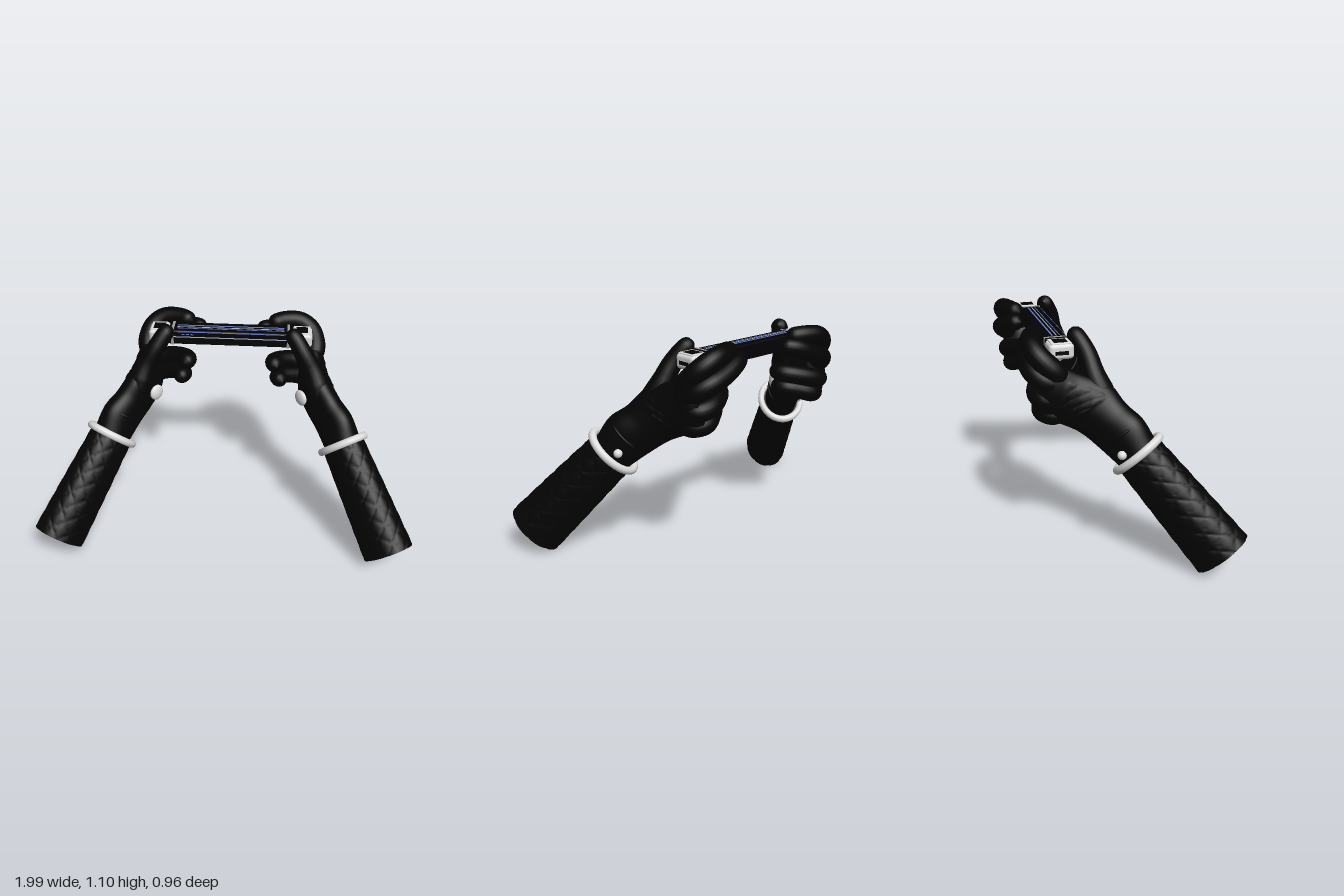
import * as THREE from 'three';
import { RoundedBoxGeometry } from 'three/addons/geometries/RoundedBoxGeometry.js';

const V = (x, y, z) => new THREE.Vector3(x, y, z);
const mat = (name, color) => {
  const m = new THREE.MeshStandardMaterial({ color });
  m.name = name;
  return m;
};

// Skin a list of rings (equal point counts, counter-clockwise about the travel direction).
function skin(rings) {
  const n = rings[0].length, pos = [], idx = [];
  rings.forEach(r => r.forEach(p => pos.push(p.x, p.y, p.z)));
  for (let i = 0; i < rings.length - 1; i++)
    for (let j = 0; j < n; j++) {
      const k = (j + 1) % n, a = i * n + j, b = i * n + k, c = a + n, d = b + n;
      idx.push(a, b, d, a, d, c);
    }
  // end caps with their own vertices so the rims stay crisp
  [rings[0], rings[rings.length - 1]].forEach((ring, end) => {
    const base = pos.length / 3, mid = V(0, 0, 0);
    ring.forEach(p => { mid.addScaledVector(p, 1 / n); pos.push(p.x, p.y, p.z); });
    pos.push(mid.x, mid.y, mid.z);
    for (let j = 0; j < n; j++) {
      const k = (j + 1) % n;
      idx.push(base + n, base + (end ? j : k), base + (end ? k : j));
    }
  });
  const g = new THREE.BufferGeometry();
  g.setAttribute('position', new THREE.Float32BufferAttribute(pos, 3));
  g.setIndex(idx);
  g.computeVertexNormals();
  return g;
}

// Elliptical loft: each section has upper edge a, lower edge b and half thickness t.
function loft(sections, steps, sides, relief) {
  const ca = new THREE.CatmullRomCurve3(sections.map(s => s.a));
  const cb = new THREE.CatmullRomCurve3(sections.map(s => s.b));
  const ct = new THREE.CatmullRomCurve3(sections.map((s, i) => V(s.t, i, 0)));
  const mid = t => ca.getPoint(t).add(cb.getPoint(t)).multiplyScalar(0.5);
  const rings = [];
  for (let i = 0; i <= steps; i++) {
    const t = i / steps, c = mid(t);
    const dir = mid(Math.min(1, t + 0.01)).sub(mid(Math.max(0, t - 0.01)));
    const u = ca.getPoint(t).sub(c), w = u.length();
    u.normalize();
    const v = dir.cross(u).normalize(), h = ct.getPoint(t).x;
    rings.push(Array.from({ length: sides }, (_, j) => {
      const th = j / sides * Math.PI * 2, e = relief(t, th);
      return c.clone().addScaledVector(u, Math.cos(th) * (w + e)).addScaledVector(v, Math.sin(th) * (h + e));
    }));
  }
  return skin(rings);
}

// Round-tipped finger along a smooth path, with radii interpolated along it.
function finger(points, radii) {
  const curve = new THREE.CatmullRomCurve3(points.map(p => V(...p)));
  const steps = 36, sides = 20, len = curve.getLength(), f = curve.computeFrenetFrames(steps);
  const rings = [];
  for (let i = 0; i <= steps; i++) {
    const t = i / steps, q = t * (radii.length - 1), k = Math.min(Math.floor(q), radii.length - 2);
    let r = THREE.MathUtils.lerp(radii[k], radii[k + 1], q - k);
    const s = Math.min(t, 1 - t) * len;
    if (s < r) r *= Math.sqrt(Math.max(0.002, 1 - (1 - s / r) ** 2));
    const c = curve.getPointAt(t);
    rings.push(Array.from({ length: sides }, (_, j) => {
      const th = j / sides * Math.PI * 2;
      return c.clone().addScaledVector(f.normals[i], Math.cos(th) * r).addScaledVector(f.binormals[i], Math.sin(th) * r);
    }));
  }
  return skin(rings);
}

// Mirror a geometry across x = 0 and restore its winding.
function mirrored(geo) {
  const g = geo.clone().scale(-1, 1, 1), ix = g.index.array;
  for (let i = 0; i < ix.length; i += 3) [ix[i], ix[i + 1]] = [ix[i + 1], ix[i]];
  g.computeVertexNormals();
  return g;
}

// Raised diamonds with narrow seams between them
const quilt = (a, b) => Math.min(Math.abs(Math.sin(Math.PI * (a + b))), Math.abs(Math.sin(Math.PI * (a - b)))) ** 0.35;

export function createModel() {
  const model = new THREE.Group();
  model.name = 'glovedHandsWithDevice';
  const black = mat('gloveBlack', 0x040404), white = mat('trimWhite', 0xdcdcdc);
  const dark = mat('deviceBlack', 0x030305), blue = mat('lineBlue', 0x6478c8);
  const grey = mat('jointGrey', 0x9a9a9c), pale = mat('linePale', 0xa9b4cc);

  // Arm frame: D runs from sleeve end to wrist, U up across it, H out of the back of the hand
  const D = V(-0.414, 0.728, -0.546).normalize(), U = V(0.44, 0.685, 0.58).normalize();
  const H = D.clone().cross(U).normalize();
  const basis = p => new THREE.Matrix4().makeBasis(U, H, D).setPosition(p);
  const across = (c, w, t) => ({ a: c.clone().addScaledVector(U, w), b: c.clone().addScaledVector(U, -w), t });
  const edges = (a, b, t) => ({ a: V(...a), b: V(...b), t });
  const end = V(0.878, 0.105, 0.368), wrist = V(0.62, 0.55, 0.03), cuff = V(0.57, 0.638, -0.035);

  const parts = [];
  const add = (name, geo, m) => parts.push([name, geo, m]);

  // Quilted sleeve
  add('sleeve', loft([across(end, 0.145, 0.119), across(end.clone().lerp(wrist, 0.5), 0.133, 0.11), across(wrist, 0.119, 0.1)],
    90, 96, (t, th) => 0.005 * quilt(th * 8 / (Math.PI * 2), t * 6)), black);

  // Palm and wrist with a quilted patch on the back of the hand
  add('palm', loft([
    across(wrist, 0.108, 0.09),
    edges([0.625, 0.722, 0.043], [0.507, 0.56, -0.125], 0.085),
    edges([0.56, 0.78, -0.015], [0.46, 0.62, -0.2], 0.083),
    edges([0.49, 0.86, -0.07], [0.44, 0.66, -0.28], 0.085),
    edges([0.46, 0.915, -0.2], [0.43, 0.68, -0.33], 0.073),
    edges([0.455, 0.96, -0.32], [0.43, 0.7, -0.38], 0.06),
    edges([0.445, 0.9, -0.395], [0.42, 0.74, -0.41], 0.03),
  ], 60, 64, (t, th) => t > 0.45 && t < 0.75 && Math.abs(th - Math.PI / 2) < 0.75
    ? 0.006 * quilt((th - Math.PI / 2) * 2, t * 10) : 0), black);

  // Fingers: two reach behind the device, two curl into the palm
  add('thumb', finger([[0.5, 0.73, -0.075], [0.445, 0.88, -0.13], [0.385, 0.99, -0.155], [0.335, 1.06, -0.19], [0.3, 1.08, -0.208]],
    [0.06, 0.066, 0.053, 0.046, 0.042]), black);
  add('indexFinger', finger([[0.45, 0.88, -0.27], [0.455, 0.95, -0.345], [0.43, 1.005, -0.395], [0.37, 1.045, -0.415], [0.28, 1.057, -0.395], [0.205, 1.05, -0.35]],
    [0.05, 0.056, 0.053, 0.05, 0.047, 0.043]), black);
  add('middleFinger', finger([[0.45, 0.85, -0.29], [0.45, 0.89, -0.37], [0.41, 0.925, -0.415], [0.32, 0.96, -0.428], [0.22, 1.0, -0.41], [0.145, 1.015, -0.36]],
    [0.048, 0.053, 0.051, 0.048, 0.046, 0.042]), black);
  add('ringFinger', finger([[0.45, 0.79, -0.29], [0.445, 0.797, -0.37], [0.39, 0.81, -0.395], [0.3, 0.835, -0.365], [0.235, 0.85, -0.3], [0.255, 0.85, -0.23]],
    [0.046, 0.051, 0.05, 0.048, 0.047, 0.042]), black);
  add('littleFinger', finger([[0.45, 0.717, -0.28], [0.44, 0.72, -0.345], [0.39, 0.728, -0.375], [0.32, 0.75, -0.345], [0.26, 0.765, -0.29], [0.29, 0.765, -0.22]],
    [0.045, 0.05, 0.049, 0.046, 0.045, 0.04]), black);

  // Glove cuff seam, bracelet and buttons
  const ring = (c, w, h, r) => new THREE.TorusGeometry(w, r, 14, 64).scale(1, h / w, 1).applyMatrix4(basis(c));
  add('cuffSeam', ring(cuff, 0.107, 0.088, 0.007), black);
  add('bracelet', ring(wrist, 0.131, 0.115, 0.02), white);
  const button = (p, ru, rh, rd) => new THREE.SphereGeometry(1, 24, 16).scale(ru, rh, rd).applyMatrix4(basis(p));
  add('palmButton', button(V(0.388, 0.742, -0.108), 0.043, 0.02, 0.043), white);
  add('wristButton', button(V(0.664, 0.571, -0.063), 0.022, 0.022, 0.022), white);

  [['leftArm', g => g], ['rightArm', mirrored]].forEach(([name, fn]) => {
    const arm = new THREE.Group();
    arm.name = name;
    parts.forEach(([n, g, m]) => {
      const mesh = new THREE.Mesh(fn(g), m);
      mesh.name = n;
      arm.add(mesh);
    });
    model.add(arm);
  });

  // Handheld device
  const device = new THREE.Group();
  device.name = 'device';
  device.position.set(0, 1.015, -0.282);
  model.add(device);
  const put = (name, geo, m, x = 0, y = 0, z = 0) => {
    const mesh = new THREE.Mesh(geo, m);
    mesh.name = name;
    mesh.position.set(x, y, z);
    device.add(mesh);
  };
  const box = (w, h, d) => new THREE.BoxGeometry(w, h, d);
  put('bar', new RoundedBoxGeometry(0.66, 0.08, 0.112, 3, 0.01), dark);
  for (const s of [1, -1]) {
    put('endCap', new RoundedBoxGeometry(0.108, 0.076, 0.12, 4, 0.02), white, s * 0.38);
    put('endPad', new RoundedBoxGeometry(0.088, 0.01, 0.096, 2, 0.003), white, s * 0.38, 0.036);
    put('endScreen', box(0.06, 0.003, 0.064), dark, s * 0.38, 0.041);
    put('endSlot', box(0.004, 0.018, 0.064), dark, s * 0.433, -0.004);
    put('joint', box(0.014, 0.083, 0.116), grey, s * 0.308);
  }
  // Thin light lines on the top and front
  put('topLineBlue', box(0.57, 0.003, 0.008), blue, 0, 0.0405, -0.012);
  put('topLinePale', box(0.57, 0.003, 0.005), pale, 0, 0.0405, 0.008);
  put('topEdgeLine', box(0.57, 0.003, 0.004), blue, 0, 0.0405, 0.024);
  put('frontLine', box(0.6, 0.005, 0.003), pale, 0, 0.005, 0.0565);
  put('frontEdgeLine', box(0.57, 0.004, 0.006), blue, 0, 0.034, 0.054);
  for (let i = 0; i < 3; i++) put('frontDot', box(0.014, 0.005, 0.003), blue, -0.25 + i * 0.024, 0.02, 0.0565);
  return model;
}
